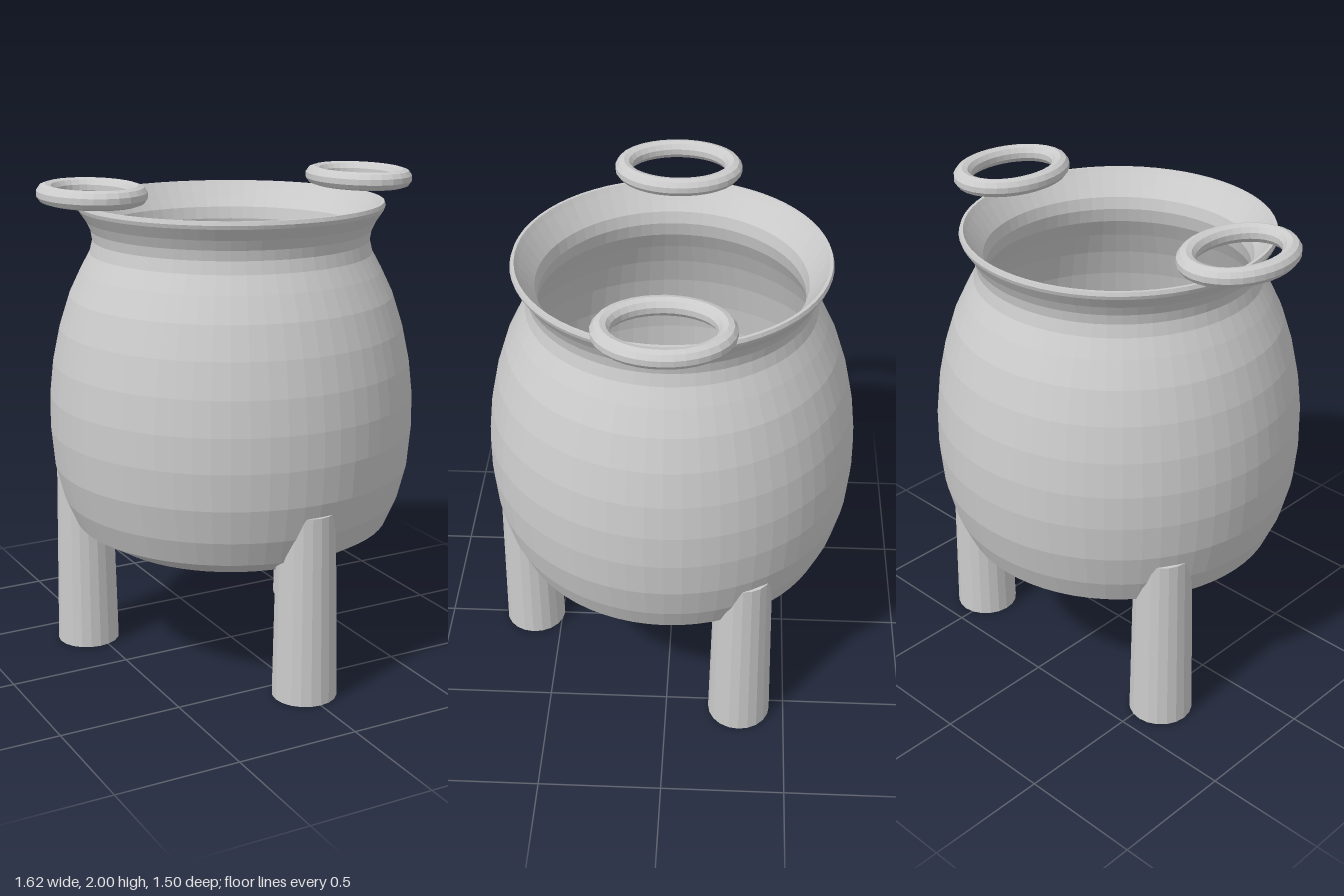
import * as THREE from 'three';

const material = new THREE.MeshStandardMaterial({ color: 0xcccccc, flatShading: true });

// Closed ellipse lying flat, used as the centre line of a ring
class FlatEllipse extends THREE.Curve {
  constructor(rx, rz) {
    super();
    this.rx = rx;
    this.rz = rz;
  }
  getPoint(t, target = new THREE.Vector3()) {
    const a = t * Math.PI * 2;
    return target.set(this.rx * Math.cos(a), 0, this.rz * Math.sin(a));
  }
}

function addPart(parent, name, geometry, x = 0, y = 0, z = 0) {
  const mesh = new THREE.Mesh(geometry, material);
  mesh.name = name;
  mesh.position.set(x, y, z);
  parent.add(mesh);
  return mesh;
}

export function createModel() {
  const model = new THREE.Group();
  model.name = 'cauldron';

  // Pot: one profile up the outside, over the lip and down the inside
  const outside = [
    [0, 0.465], [0.3, 0.475], [0.53, 0.51], [0.655, 0.585], [0.7, 0.69],
    [0.735, 0.83], [0.748, 0.98], [0.746, 1.12], [0.73, 1.26], [0.7, 1.4],
    [0.658, 1.53], [0.61, 1.63], [0.572, 1.7], [0.56, 1.75], [0.566, 1.79],
    [0.585, 1.83], [0.615, 1.875], [0.62, 1.89], [0.615, 1.905],
  ];
  const inside = [
    [0.603, 1.905], [0.59, 1.885], [0.555, 1.835], [0.53, 1.8], [0.52, 1.75],
    [0.532, 1.69], [0.575, 1.61], [0.62, 1.51], [0.66, 1.39], [0.69, 1.25],
    [0.706, 1.12], [0.708, 0.98], [0.695, 0.84], [0.662, 0.71], [0.62, 0.62],
    [0.51, 0.55], [0.3, 0.515], [0, 0.505],
  ];
  const profile = [...outside, ...inside].map(([r, y]) => new THREE.Vector2(r, y));
  addPart(model, 'pot', new THREE.LatheGeometry(profile, 64));

  // Three slightly tapered legs, one in front and two behind
  const legHeight = 0.775;
  const legGeometry = new THREE.CylinderGeometry(0.115, 0.13, legHeight, 20);
  ['frontLeg', 'backLeftLeg', 'backRightLeg'].forEach((name, i) => {
    const a = (i * Math.PI * 2) / 3;
    addPart(model, name, legGeometry, 0.62 * Math.sin(a), legHeight / 2, 0.62 * Math.cos(a));
  });

  // Oval ring handles hovering over the rim
  const ringGeometry = new THREE.TubeGeometry(new FlatEllipse(0.168, 0.226), 32, 0.037, 10, true);
  for (const side of [1, -1]) {
    addPart(model, side > 0 ? 'leftHandle' : 'rightHandle', ringGeometry, side * 0.605, 1.964, 0);
  }

  return model;
}
